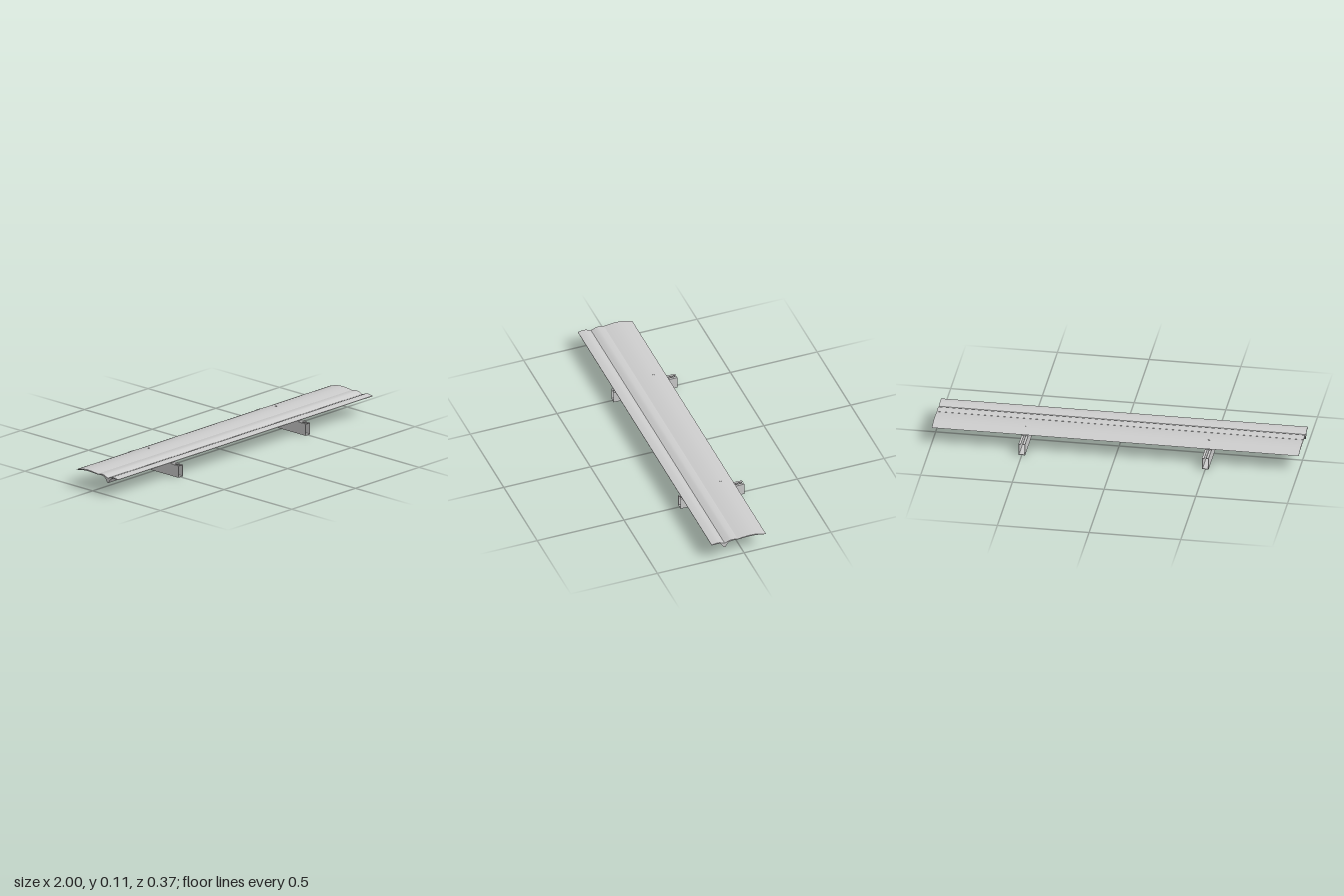
import * as THREE from 'three';
import { toCreasedNormals } from 'three/addons/utils/BufferGeometryUtils.js';

const material = new THREE.MeshStandardMaterial({ color: 0xcccccc, side: THREE.DoubleSide });

function add(parent, name, geometry, x = 0, y = 0, z = 0) {
  const mesh = new THREE.Mesh(geometry, material);
  mesh.name = name;
  mesh.position.set(x, y, z);
  parent.add(mesh);
  return mesh;
}

// Extrudes a closed (z, y) outline along x, centred on x = 0
function extrudeAlongX(points, length) {
  const shape = new THREE.Shape(points.map(([z, y]) => new THREE.Vector2(z, y)));
  const geometry = new THREE.ExtrudeGeometry(shape, { depth: length, bevelEnabled: false });
  geometry.translate(0, 0, -length / 2).rotateY(-Math.PI / 2);
  return toCreasedNormals(geometry, 0.45);
}

// Extrudes an (x, y) outline along z from z0 to z1
function extrudeAlongZ(points, z0, z1) {
  const shape = new THREE.Shape(points.map(([x, y]) => new THREE.Vector2(x, y)));
  const geometry = new THREE.ExtrudeGeometry(shape, { depth: z1 - z0, bevelEnabled: false });
  return geometry.translate(0, 0, z0);
}

export function createModel() {
  const model = new THREE.Group();
  model.name = 'slattedBench';

  // Front slat: two curved wings over a V-shaped spine
  const spineZ = 0.112;
  const halfProfile = [
    [0.075, 0.105], [0.06, 0.108], [0.041, 0.11], [0.03, 0.109], [0.015, 0.103],
  ];
  const halfUnder = [[0.004, 0.071], [0.012, 0.083], [0.021, 0.095], [0.028, 0.1], [0.042, 0.103], [0.06, 0.1025], [0.075, 0.102]];
  const frontSlat = [
    ...halfProfile.map(([d, y]) => [spineZ + d, y]),
    [spineZ, 0.097],
    ...halfProfile.slice().reverse().map(([d, y]) => [spineZ - d, y]),
    ...halfUnder.slice().reverse().map(([d, y]) => [spineZ - d, y]),
    ...halfUnder.map(([d, y]) => [spineZ + d, y]),
  ];
  add(model, 'frontSlat', extrudeAlongX(frontSlat, 2));

  // Rear slat: one broad arched blade that droops at the back
  const rearSlat = [
    [0.037, 0.104], [0.015, 0.1075], [-0.01, 0.11], [-0.035, 0.111], [-0.06, 0.1095],
    [-0.085, 0.105], [-0.105, 0.0995], [-0.127, 0.092],
    [-0.105, 0.096], [-0.085, 0.1], [-0.06, 0.103], [-0.03, 0.1045], [0, 0.1035], [0.02, 0.102], [0.037, 0.101],
  ];
  add(model, 'rearSlat', extrudeAlongX(rearSlat, 2));

  for (const side of [-1, 1]) {
    const support = new THREE.Group();
    support.name = side > 0 ? 'leftSupport' : 'rightSupport';
    support.position.x = side * 0.5;
    model.add(support);

    // Hollow beam with a narrow slot along its top
    const w = 0.018, h = 0.066, t = 0.003, slot = 0.005;
    add(support, 'beam', extrudeAlongZ([
      [-w, 0], [w, 0], [w, h], [slot, h], [slot, h - t], [w - t, h - t],
      [w - t, t], [-w + t, t], [-w + t, h - t], [-slot, h - t], [-slot, h], [-w, h],
    ], -0.187, 0.18));

    // Channel bracket holding up the rear slat
    const bracket = new THREE.Group();
    bracket.name = 'rearBracket';
    support.add(bracket);
    for (const s of [-1, 1]) {
      add(bracket, 'bracketSide', new THREE.BoxGeometry(0.003, 0.038, 0.061), s * 0.0165, 0.085, -0.056);
    }
    add(bracket, 'bracketBase', new THREE.BoxGeometry(0.036, 0.003, 0.061), 0, 0.0675, -0.056);
    add(bracket, 'bracketBolt', new THREE.CylinderGeometry(0.005, 0.005, 0.004, 16), 0, 0.11, -0.056);

    // Plate and clip under the spine of the front slat
    add(support, 'frontPlate', new THREE.BoxGeometry(0.034, 0.003, 0.065), 0, 0.0675, 0.112);
    add(support, 'frontClip', new THREE.BoxGeometry(0.024, 0.004, 0.028), 0, 0.072, 0.112);
  }
  return model;
}
